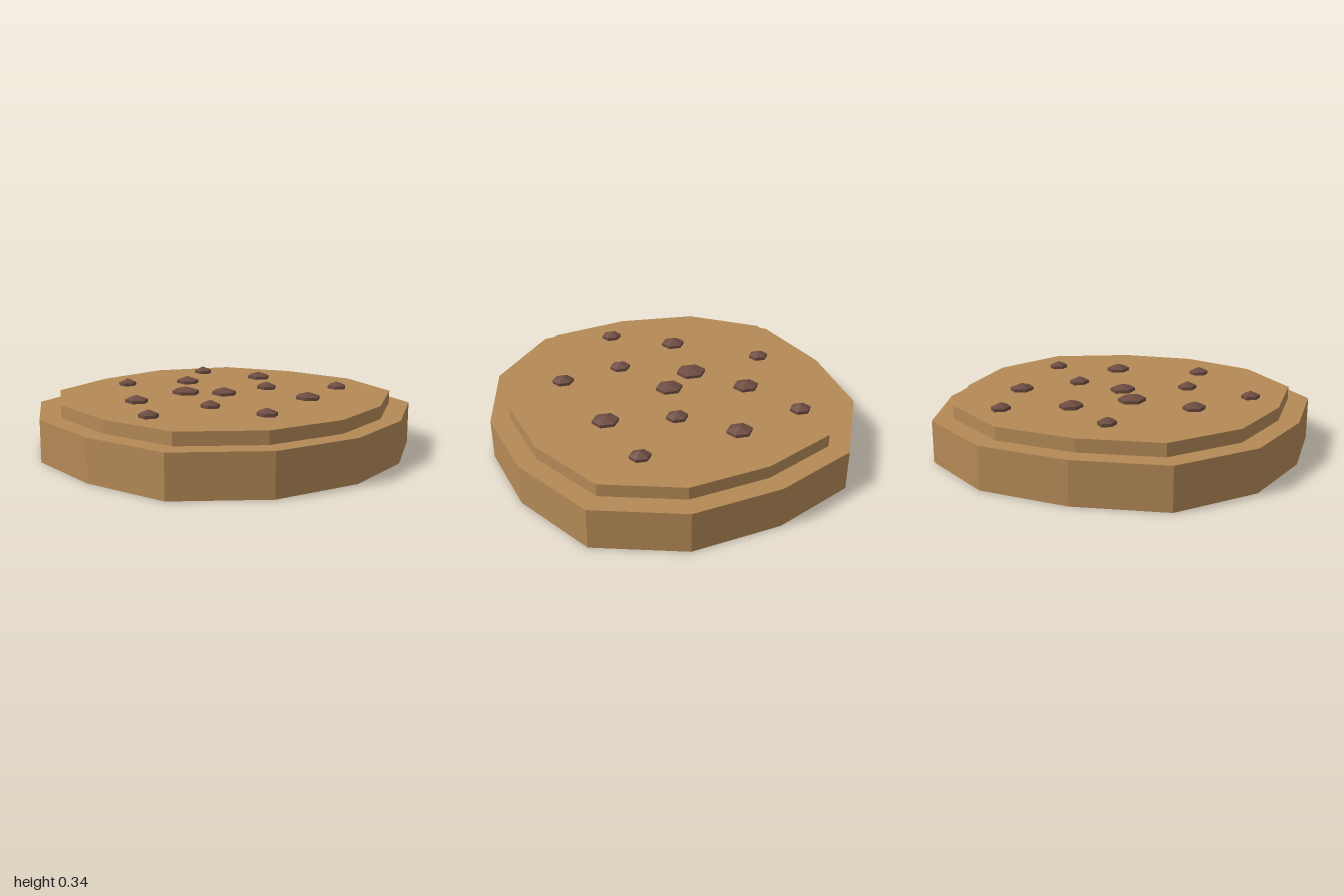
import * as THREE from 'three';

const dough = new THREE.MeshStandardMaterial({ color: 0xb58a57, flatShading: true });
dough.name = 'bakedDough';
const chocolate = new THREE.MeshStandardMaterial({ color: 0x6d4c41, flatShading: true });
chocolate.name = 'chocolate';

// Irregular outline seen from above, as [x, z]
const outline = [
  [0.12, -1], [0.6, -0.86], [0.88, -0.44], [0.99, 0.01], [0.91, 0.49],
  [0.6, 0.89], [0.12, 1], [-0.37, 0.97], [-0.79, 0.72], [-0.96, 0.26],
  [-1, -0.23], [-0.79, -0.69], [-0.36, -0.91],
];

// Flat slab following the outline
function slab(name, scale, bottom, top) {
  const shape = new THREE.Shape(outline.map(([x, z]) => new THREE.Vector2(x * scale, -z * scale)));
  const geometry = new THREE.ExtrudeGeometry(shape, { depth: top - bottom, bevelEnabled: false });
  geometry.rotateX(-Math.PI / 2);
  const mesh = new THREE.Mesh(geometry, dough);
  mesh.name = name;
  mesh.position.y = bottom;
  return mesh;
}

// Chips as [x, z, radius]
const chips = [
  [-0.26, -0.485, 0.07], [0.285, -0.595, 0.057], [-0.635, -0.355, 0.057],
  [0.025, -0.285, 0.06], [0.4, -0.24, 0.073], [-0.42, -0.06, 0.07],
  [0, 0.015, 0.075], [-0.16, 0.16, 0.083], [0.565, 0.22, 0.06],
  [-0.59, 0.255, 0.055], [0.225, 0.305, 0.057], [-0.135, 0.515, 0.067],
  [0.21, 0.69, 0.057],
];

export function createModel() {
  const cookie = new THREE.Group();
  cookie.name = 'cookie';
  cookie.add(slab('cookieBase', 1, 0, 0.23));
  cookie.add(slab('raisedTop', 0.89, 0.23, 0.3));

  // Six-sided chip with a low peak
  const profile = [[1, -0.01], [1, 0.017], [0, 0.04]].map(([r, y]) => new THREE.Vector2(r, y));
  const chipGeometry = new THREE.LatheGeometry(profile, 6, Math.PI / 6);
  for (const [x, z, r] of chips) {
    const chip = new THREE.Mesh(chipGeometry, chocolate);
    chip.name = 'chocolateChip';
    chip.position.set(x, 0.3, z);
    chip.scale.set(r, 1, r * 0.87);
    cookie.add(chip);
  }
  return cookie;
}
